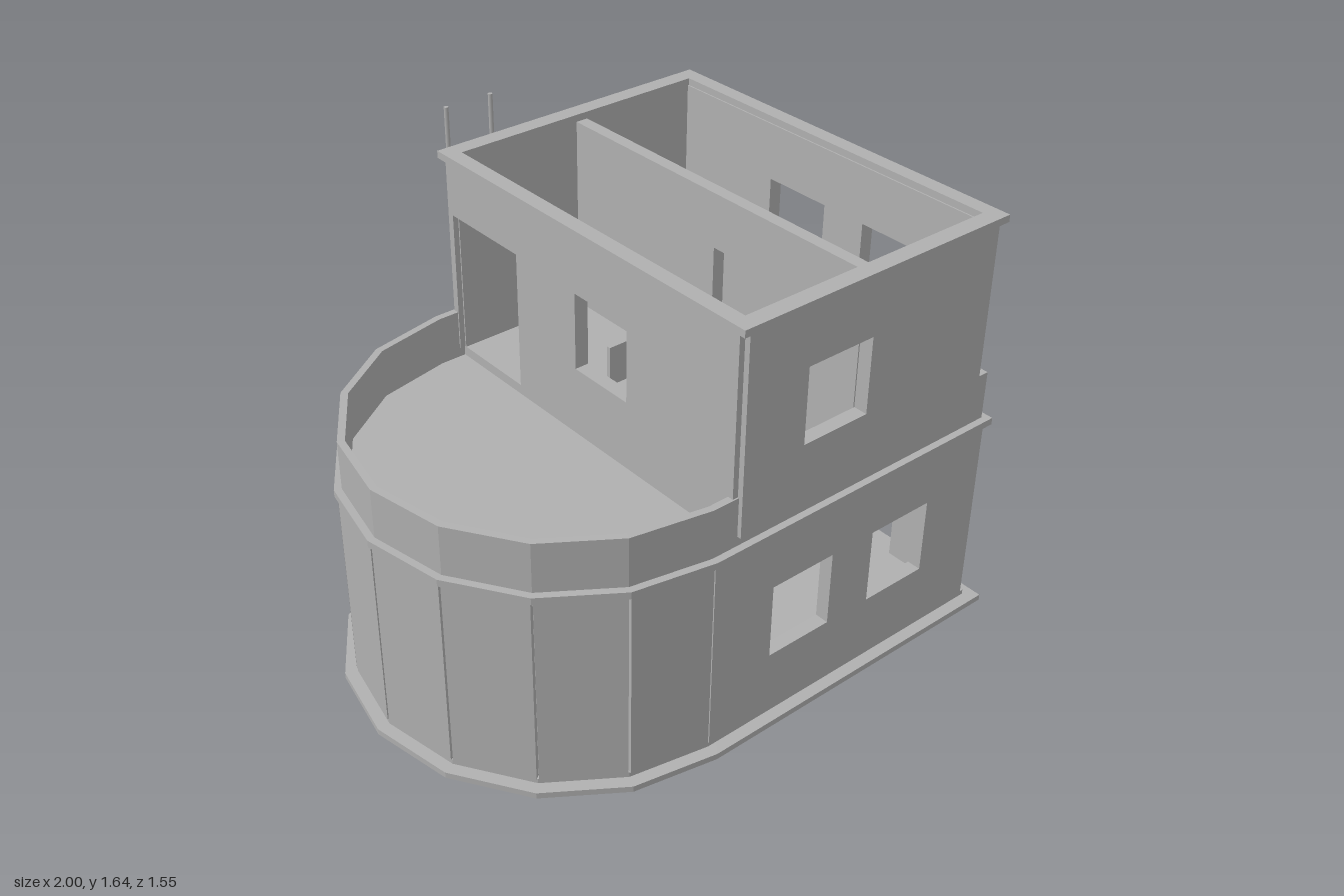
import * as THREE from 'three';

const CZ = 0.01; // centre line of the plan
const CX = -0.235; // centre of the rounded end

export function createModel() {
  const plaster = new THREE.MeshStandardMaterial({ color: 0xb0b0b0 });
  plaster.name = 'grey plaster';
  const model = new THREE.Group();

  function group(name) {
    const g = new THREE.Group();
    g.name = name;
    model.add(g);
    return g;
  }
  function add(geo, name, parent = model) {
    const m = new THREE.Mesh(geo, plaster);
    m.name = name;
    parent.add(m);
    return m;
  }
  function box(name, x0, x1, y0, y1, z0, z1, parent) {
    const m = add(new THREE.BoxGeometry(x1 - x0, y1 - y0, z1 - z0), name, parent);
    m.position.set((x0 + x1) / 2, (y0 + y1) / 2, (z0 + z1) / 2);
    return m;
  }

  // Plan outlines as [x, z], running front, right, back, left
  function roundPlan(r) {
    const pts = [[CX, CZ + r], [r - CX, CZ + r], [r - CX, CZ - r]];
    for (let i = 0; i < 8; i++) {
      const a = Math.PI * i / 8;
      pts.push([CX - r * Math.sin(a), CZ - r * Math.cos(a)]);
    }
    return pts;
  }
  const rectPlan = (x0, x1, z0, z1) => [[x0, z1], [x1, z1], [x1, z0], [x0, z0]];

  // Flat slab between two heights, with optional holes in plan
  function slab(name, plan, y0, y1, holes = []) {
    const v = (p) => p.map(([x, z]) => new THREE.Vector2(x, -z));
    const shape = new THREE.Shape(v(plan));
    holes.forEach((h) => shape.holes.push(new THREE.Path(v(h))));
    const geo = new THREE.ExtrudeGeometry(shape, { depth: y1 - y0, bevelEnabled: false });
    geo.rotateX(-Math.PI / 2).translate(0, y0, 0);
    return add(geo, name);
  }

  // Upright panel along a plan edge; openings are [from, to, bottom, top] in x or z
  function wall(name, a, b, y0, y1, openings, parent, thick = 0.05, out = 0.02) {
    const dx = b[0] - a[0], dz = b[1] - a[1];
    const len = Math.hypot(dx, dz);
    const axis = Math.abs(dx) > Math.abs(dz) ? 0 : 1;
    const outline = [[0, y0]];
    const holes = [];
    for (const [p, q, lo, hi] of openings) {
      const [u, w] = [Math.abs(p - a[axis]), Math.abs(q - a[axis])].sort((m, n) => m - n);
      if (lo <= y0) outline.push([u, y0], [u, hi], [w, hi], [w, y0]);
      else holes.push([[u, lo], [u, hi], [w, hi], [w, lo]]);
    }
    outline.push([len, y0], [len, y1], [0, y1]);
    const v = (p) => p.map(([x, y]) => new THREE.Vector2(x, y));
    const shape = new THREE.Shape(v(outline));
    holes.forEach((h) => shape.holes.push(new THREE.Path(v(h))));
    const geo = new THREE.ExtrudeGeometry(shape, { depth: thick, bevelEnabled: false });
    geo.translate(0, 0, out - thick);
    const m = add(geo, name, parent);
    m.position.set(a[0], 0, a[1]);
    m.rotation.y = Math.atan2(-dz, dx);
    return m;
  }
  function walls(groupName, plan, y0, y1, openings) {
    const g = group(groupName);
    plan.forEach((a, i) => wall('wallPanel', a, plan[(i + 1) % plan.length], y0, y1, openings[i] || [], g));
  }

  const stairwell = rectPlan(0.565, 0.86, -0.67, 0.05);

  // Ground storey
  slab('basePlate', roundPlan(0.765), 0, 0.022);
  slab('groundFloor', roundPlan(0.722), 0.022, 0.04);
  walls('groundWalls', roundPlan(0.705), 0.04, 0.74, [
    [[0.01, 0.265, 0.265, 0.54], [0.445, 0.7, 0.265, 0.54]],
    [[0.425, 0.07, 0.04, 0.56]],
    [[0.55, 0.19, 0.04, 0.56]],
  ]);

  // Intermediate floor and terrace
  slab('floorSlab', roundPlan(0.735), 0.74, 0.765, [stairwell]);
  slab('terraceParapet', roundPlan(0.71), 0.765, 0.94, [roundPlan(0.685)]);
  slab('upperFloor', rectPlan(-0.14, 0.885, CZ - 0.705, CZ + 0.705), 0.765, 0.8, [stairwell]);

  // Upper storey, open at the top
  walls('upperWalls', rectPlan(-0.14, 0.885, CZ - 0.705, CZ + 0.705), 0.8, 1.5, [
    [[0.1, 0.36, 1.03, 1.3]],
    [[0.47, 0.21, 1.025, 1.3], [0.035, -0.225, 1.025, 1.3]],
    [[0.645, 0.385, 1.03, 1.3]],
    [[-0.67, -0.32, 0.8, 1.31], [-0.02, 0.23, 1.03, 1.3]],
  ]);
  slab('roofRim', rectPlan(-0.17, 0.915, CZ - 0.735, CZ + 0.735), 1.5, 1.525,
    [rectPlan(-0.115, 0.86, CZ - 0.675, CZ + 0.675)]);
  wall('partition', [0.378, 0.685], [0.378, -0.665], 0.8, 1.5, [[0.04, 0.375, 0.8, 1.31]], model, 0.045, 0.0225);

  // Staircase
  const stairs = group('staircase');
  const n = 11, run = 0.71 / n, rise = 0.76 / n;
  for (let i = 0; i < n; i++) {
    const z = 0.05 - i * run;
    box('step', 0.585, 0.845, 0.04, 0.04 + (i + 1) * rise, z - run, z, stairs);
  }
  box('groundCabinet', 0.625, 0.84, 0.04, 0.43, 0.07, 0.165);

  // Open shelf beside the right window
  const shelf = group('shelf');
  for (let i = 0; i < 4; i++) {
    const y = 0.8 + i * 0.122;
    box('shelfBoard', 0.72, 0.82, y, y + 0.022, 0.18, 0.425, shelf);
  }
  for (const z of [0.19, 0.3, 0.41]) box('shelfUpright', 0.725, 0.815, 0.8, 1.18, z - 0.015, z + 0.015, shelf);
  box('stool', 0.52, 0.67, 0.8, 0.95, 0.53, 0.65);

  // Desk with screen, and chair
  const desk = group('desk');
  box('deskTop', -0.06, 0.2, 1.02, 1.045, 0.35, 0.48, desk);
  for (const x of [-0.06, 0.18]) box('deskSide', x, x + 0.02, 0.8, 1.02, 0.35, 0.48, desk);
  box('screen', -0.02, 0.075, 1.045, 1.14, 0.38, 0.392, desk);
  const chair = group('chair');
  box('chairSeat', -0.05, 0.07, 0.92, 0.94, 0, 0.12, chair);
  box('chairBack', -0.05, 0.07, 0.94, 1.08, 0, 0.015, chair);
  for (const x of [-0.05, 0.055]) {
    for (const z of [0, 0.105]) box('chairLeg', x, x + 0.015, 0.8, 0.92, z, z + 0.015, chair);
  }

  // Pipes up the back wall
  for (const x of [-0.1, 0.075]) {
    const pipe = add(new THREE.CylinderGeometry(0.008, 0.008, 1.625, 8), 'pipe');
    pipe.position.set(x, 0.8325, -0.765);
  }
  return model;
}
